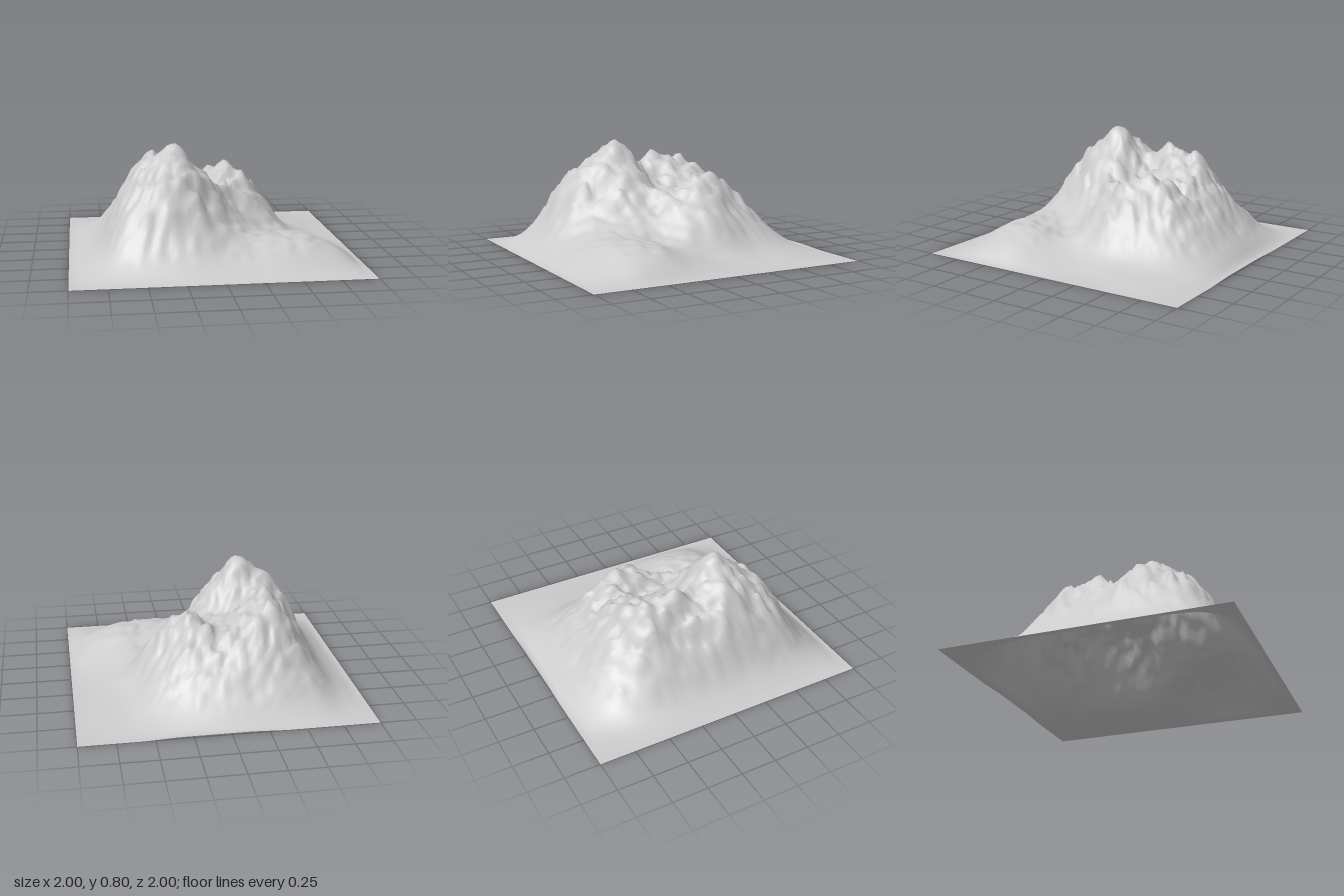
import * as THREE from 'three';

// Broad heights in hundredths: rows run back to front, columns run -x to +x, 0.2 apart
const RELIEF = [
  [2, 9, 14, 16, 16, 13, 8, 3, 1],
  [6, 23, 36, 39, 36, 32, 19, 6, 2],
  [9, 35, 58, 57, 47, 49, 28, 8, 2],
  [10, 39, 62, 54, 44, 54, 37, 11, 2],
  [11, 43, 59, 51, 45, 44, 30, 10, 3],
  [12, 49, 69, 73, 52, 31, 16, 12, 6],
  [12, 46, 64, 65, 42, 23, 18, 18, 11],
  [10, 36, 50, 46, 28, 19, 19, 18, 11],
  [5, 13, 17, 17, 13, 11, 11, 8, 4],
];

// Sharp summits: x, z, extra height, radius
const PEAKS = [
  [-0.26, 0.26, 0.075, 0.12],
  [-0.48, 0.2, 0.05, 0.1],
  [-0.39, -0.12, 0.1, 0.11],
  [-0.41, -0.36, 0.05, 0.09],
  [-0.27, -0.44, 0.04, 0.08],
  [0.17, -0.27, 0.035, 0.1],
  [-0.35, 0.57, 0.03, 0.1],
];

const { smoothstep, lerp } = THREE.MathUtils;

function spline(a, b, c, d, t) {
  return 0.5 * (2 * b + (c - a) * t + (2 * a - 5 * b + 4 * c - d) * t * t
    + (3 * b - a - 3 * c + d) * t * t * t);
}

// Smooth surface through the broad heights, zero outside the table
function relief(x, z) {
  const u = (x + 0.8) / 0.2, v = (z + 0.8) / 0.2;
  const i = Math.floor(u), j = Math.floor(v);
  const at = (r, c) => (RELIEF[r]?.[c] ?? 0) / 100;
  const row = (r) => spline(at(r, i - 1), at(r, i), at(r, i + 1), at(r, i + 2), u - i);
  return spline(row(j - 1), row(j), row(j + 1), row(j + 2), v - j);
}

// Seeded value noise in -1..1
function hash(i, j) {
  const s = Math.sin(i * 127.1 + j * 311.7 + 4.2) * 43758.5453;
  return (s - Math.floor(s)) * 2 - 1;
}
function noise(x, z) {
  const i = Math.floor(x), j = Math.floor(z);
  const s = x - i, t = z - j;
  return lerp(lerp(hash(i, j), hash(i + 1, j), s), lerp(hash(i, j + 1), hash(i + 1, j + 1), s), t);
}

function heightAt(x, z) {
  let h = relief(x, z);
  let calm = 1; // summits keep their own shape
  for (const [px, pz, rise, radius] of PEAKS) {
    const cone = Math.max(0, 1 - Math.hypot(x - px, z - pz) / radius);
    h += rise * cone;
    calm = Math.min(calm, 1 - 0.8 * cone);
  }
  // craggy rock high up, gentler ripples on the lower slopes and the foothill
  const rough = calm * (0.015 * smoothstep(h, 0.06, 0.2) + 0.032 * smoothstep(h, 0.22, 0.45));
  h += rough * (0.3 * noise(x * 9, z * 9) + 0.7 * noise(x * 17 + 40, z * 17)
    + 0.8 * noise(x * 30, z * 30 + 70) - 0.1);
  // the foot runs out just short of the border
  const border = smoothstep(0.99 - Math.max(Math.abs(x), Math.abs(z)), -0.04, 0.1);
  return Math.max(0, h) * border;
}

// Faint upturned lip along the rear edge
function rearLip(x) {
  return 0.01 * smoothstep(x, -0.4, -0.1) * (1 - smoothstep(x, 0.3, 0.6));
}

export function createModel() {
  const model = new THREE.Group();
  model.name = 'mountainTerrain';

  // Flat sheet lifted into a mountain, with a foothill at the front
  const sheet = new THREE.PlaneGeometry(2, 2, 72, 72).rotateX(-Math.PI / 2);
  const pos = sheet.attributes.position;
  for (let i = 0; i < pos.count; i++) {
    const x = pos.getX(i), z = pos.getZ(i);
    const onEdge = Math.max(Math.abs(x), Math.abs(z)) > 0.999;
    const edge = z < -0.999 ? rearLip(x) : 0;
    pos.setY(i, onEdge ? edge : heightAt(x, z));
  }
  sheet.computeVertexNormals();

  const material = new THREE.MeshStandardMaterial({ color: 0xcccccc, side: THREE.DoubleSide });
  const mountain = new THREE.Mesh(sheet, material);
  mountain.name = 'mountain';
  model.add(mountain);
  return model;
}
